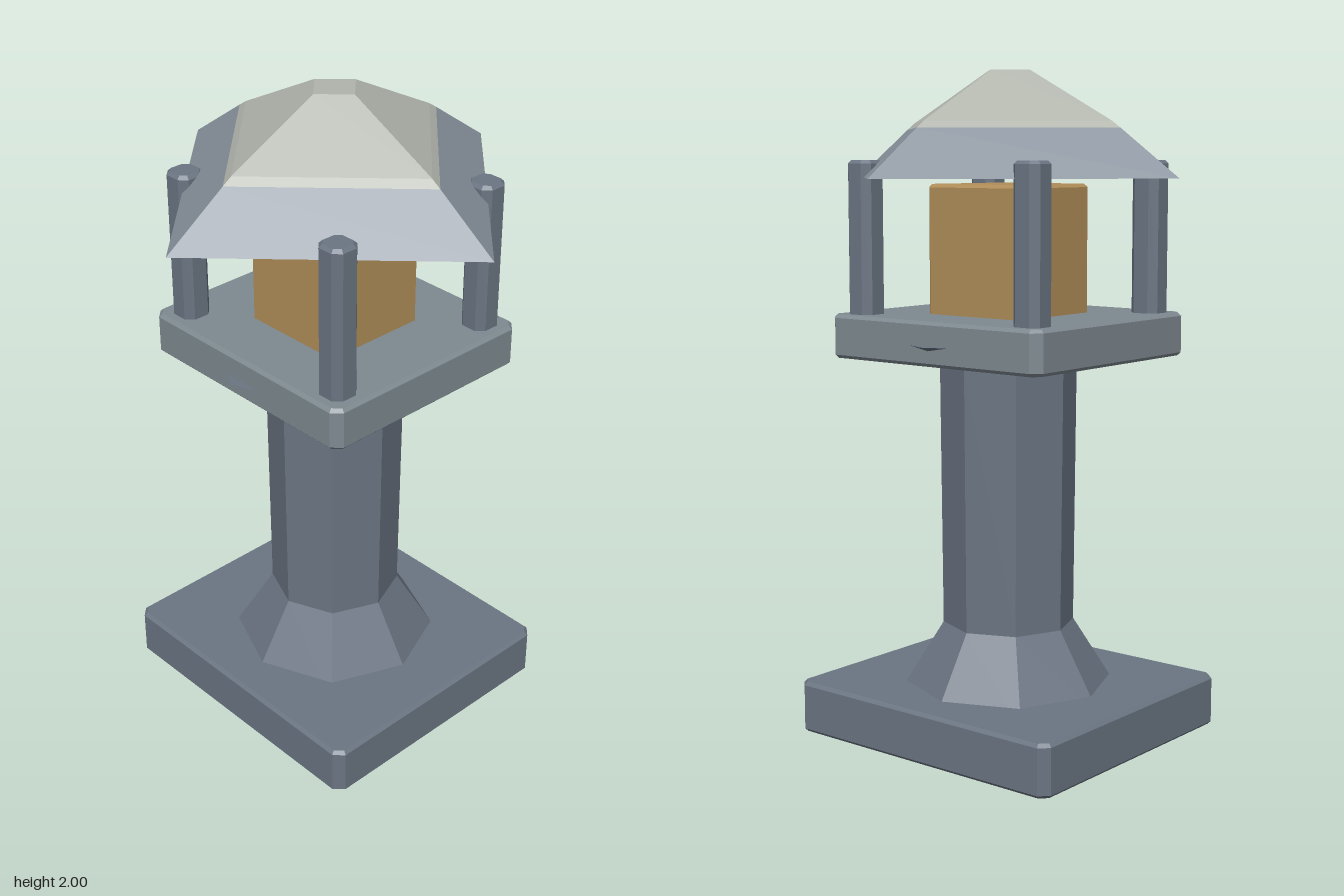
import * as THREE from 'three';

const paint = (color) => new THREE.MeshStandardMaterial({ color, flatShading: true });
const stone = paint(0x6a7482);
const paleStone = paint(0x7e8990);
const roofStone = paint(0x88929c);
const mossyStone = paint(0xb0b4ab);
const glow = paint(0xb08d58);

function add(parent, name, geometry, material, x = 0, y = 0, z = 0) {
  const mesh = new THREE.Mesh(geometry, material);
  mesh.name = name;
  mesh.position.set(x, y, z);
  parent.add(mesh);
  return mesh;
}

// Block with cut vertical corners and a thin bevel round top and bottom; stands on its origin
function chamferedBlock(width, height, depth, corner, bevel) {
  const w = width / 2 - bevel, d = depth / 2 - bevel;
  const c = corner;
  const outline = new THREE.Shape([
    [w - c, -d], [w, -d + c], [w, d - c], [w - c, d],
    [-w + c, d], [-w, d - c], [-w, -d + c], [-w + c, -d],
  ].map(([x, y]) => new THREE.Vector2(x, y)));
  const geometry = new THREE.ExtrudeGeometry(outline, {
    depth: height - 2 * bevel, bevelEnabled: true,
    bevelThickness: bevel, bevelSize: bevel, bevelSegments: 1,
  });
  return geometry.translate(0, 0, bevel).rotateX(-Math.PI / 2);
}

// Faceted turned shape from [radius, height] pairs, listed bottom to top
function faceted(profile, sides) {
  return new THREE.LatheGeometry(profile.map(([r, y]) => new THREE.Vector2(r, y)), sides);
}

export function createModel() {
  const lantern = new THREE.Group();
  lantern.name = 'stoneLantern';

  // Base slab and eight-sided shaft, flared at both ends
  add(lantern, 'baseSlab', chamferedBlock(0.96, 0.157, 0.87, 0.022, 0.01), stone);
  add(lantern, 'shaft', faceted([
    [0, 0.1], [0.35, 0.1], [0.2, 0.34], [0.207, 1.135], [0.395, 1.215], [0, 1.215],
  ], 8), stone);

  // Platform carrying the lamp
  add(lantern, 'platform', chamferedBlock(0.79, 0.13, 0.73, 0.022, 0.01), paleStone, 0, 1.156, 0);
  add(lantern, 'lampBlock', chamferedBlock(0.35, 0.4, 0.35, 0.012, 0.01), glow, 0, 1.27, 0);

  // Four corner posts
  const postGeometry = chamferedBlock(0.093, 0.47, 0.093, 0.016, 0.01);
  for (const x of [-1, 1]) {
    for (const z of [-1, 1]) {
      const name = (z > 0 ? 'front' : 'back') + (x > 0 ? 'Left' : 'Right') + 'Post';
      add(lantern, name, postGeometry, stone, x * 0.314, 1.27, z * 0.284);
    }
  }

  // Four-sided roof turned corner-on: wide eaves below a lighter crown
  const roof = new THREE.Group();
  roof.name = 'roof';
  add(roof, 'eaves', faceted([[0, 1.69], [0.605, 1.69], [0.405, 1.83]], 4), roofStone);
  add(roof, 'crown', faceted([[0.405, 1.83], [0.375, 1.85], [0.08, 2], [0, 2]], 4), mossyStone);
  lantern.add(roof);

  return lantern;
}
